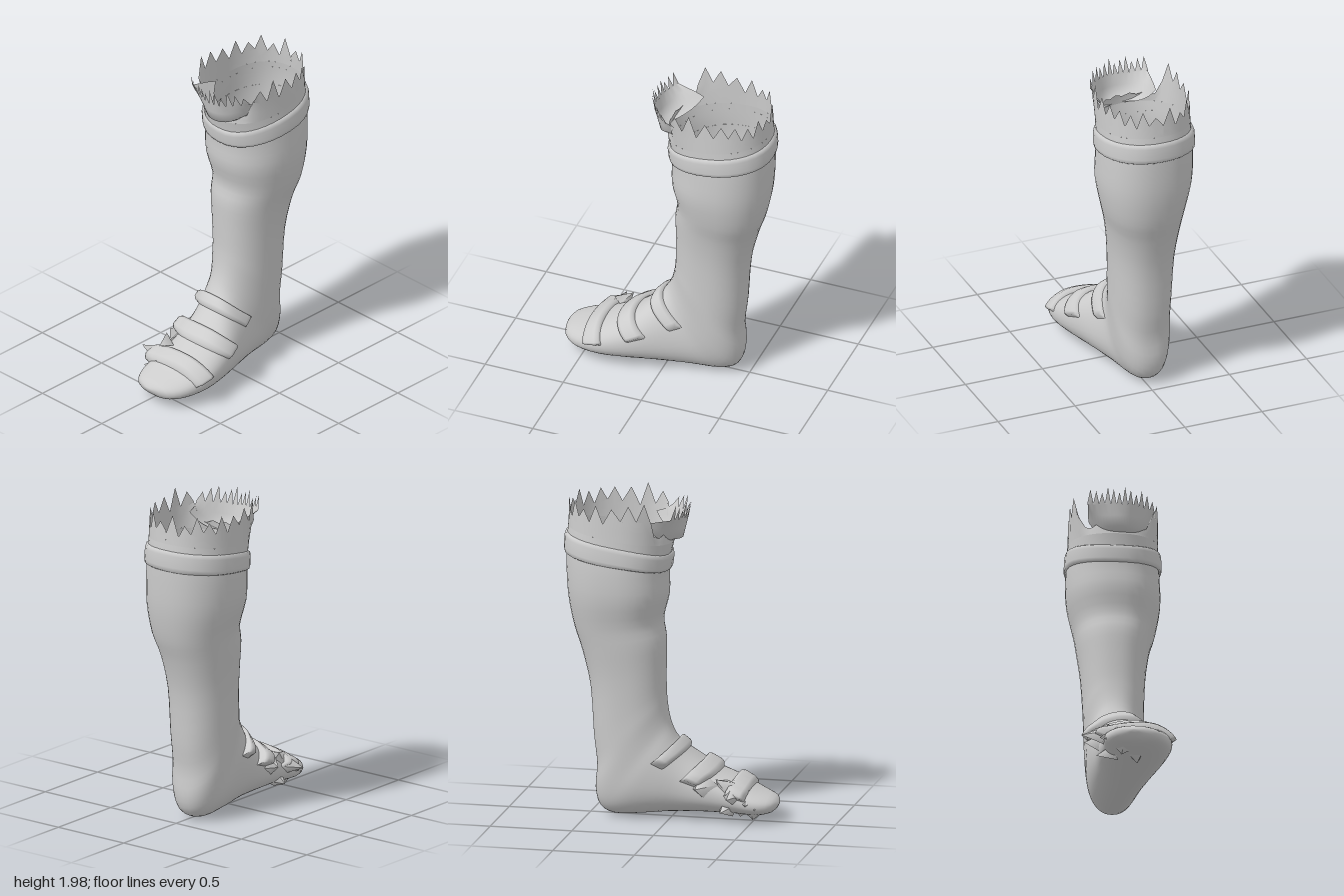
import * as THREE from 'three';
import { mergeVertices } from 'three/addons/utils/BufferGeometryUtils.js';

// Cross-sections from toe to cuff: [backZ, backY, frontZ, frontY, centreX, halfWidth]
const RINGS = [
  [0.65, 0.11, 0.65, 0.11, 0.03, 0.0],
  [0.61, 0.06, 0.62, 0.15, 0.045, 0.12],
  [0.52, 0.04, 0.52, 0.19, 0.055, 0.187],
  [0.36, 0.04, 0.40, 0.25, 0.075, 0.208],
  [0.18, 0.04, 0.25, 0.32, 0.06, 0.208],
  [0.0, 0.035, 0.14, 0.40, 0.035, 0.193],
  [-0.18, 0.02, 0.06, 0.47, 0.0, 0.178],
  [-0.34, 0.015, 0.02, 0.53, -0.02, 0.17],
  [-0.43, 0.06, -0.005, 0.59, -0.02, 0.17],
  [-0.46, 0.17, -0.02, 0.65, -0.02, 0.175],
  [-0.45, 0.32, -0.03, 0.72, -0.02, 0.18],
  [-0.47, 0.5, -0.035, 0.8, -0.02, 0.183],
  [-0.49, 0.8, -0.035, 0.95, -0.022, 0.195],
  [-0.54, 1.02, -0.035, 1.1, -0.02, 0.22],
  [-0.59, 1.17, -0.055, 1.22, -0.01, 0.247],
  [-0.625, 1.36, -0.02, 1.37, -0.015, 0.28],
  [-0.635, 1.55, -0.02, 1.5, -0.02, 0.282],
  [-0.635, 1.69, -0.01, 1.6, -0.02, 0.275],
  [-0.625, 1.79, 0.01, 1.7, -0.02, 0.27],
];
const LAST = RINGS.length - 1;

// Smooth interpolation between cross-sections
function ringAt(t) {
  const i = Math.min(Math.floor(t), LAST - 1), f = t - i;
  const at = (k) => RINGS[THREE.MathUtils.clamp(k, 0, LAST)];
  const [a, b, c, d] = [at(i - 1), at(i), at(i + 1), at(i + 2)];
  return b.map((p, k) => p + 0.5 * f * (c[k] - a[k]
    + f * (2 * a[k] - 5 * p + 4 * c[k] - d[k] + f * (3 * (p - c[k]) + d[k] - a[k]))));
}

// Point on the boot surface: angle 0 is the shin and instep, PI the calf and sole
function surface(t, angle, lift = 0) {
  const [bz, by, fz, fy, cx, hw] = ringAt(t);
  const soft = (v) => Math.sign(v) * Math.pow(Math.abs(v), 0.9);
  const c = soft(Math.cos(angle)), s = soft(Math.sin(angle));
  const half = Math.hypot(fz - bz, fy - by) / 2 || 1e-6;
  const k = (c * (half + lift)) / half / 2;
  return [cx + s * (hw + lift), (by + fy) / 2 + k * (fy - by), (bz + fz) / 2 + k * (fz - bz)];
}

// Sheet of quads from a rule fn(row, column)
function sheet(rows, cols, fn) {
  const pos = [], index = [];
  for (let r = 0; r <= rows; r++) for (let c = 0; c <= cols; c++) pos.push(...fn(r, c));
  for (let r = 0; r < rows; r++) for (let c = 0; c < cols; c++) {
    const p = r * (cols + 1) + c, q = p + cols + 1;
    index.push(p, p + 1, q, p + 1, q + 1, q);
  }
  let g = new THREE.BufferGeometry();
  g.setAttribute('position', new THREE.Float32BufferAttribute(pos, 3));
  g.setIndex(index);
  g = mergeVertices(g, 1e-5);
  g.computeVertexNormals();
  return g;
}

export function createModel() {
  const group = new THREE.Group();
  const grey = new THREE.MeshStandardMaterial({ color: 0xcccccc, side: THREE.DoubleSide });
  grey.name = 'plain grey';
  const add = (name, geometry) => {
    const mesh = new THREE.Mesh(geometry, grey);
    mesh.name = name;
    group.add(mesh);
    return mesh;
  };
  const TAU = Math.PI * 2;

  // Foot and leg in one skin
  add('bootBody', sheet(LAST * 3, 40, (r, c) => surface(r / 3, Math.PI + (c / 40) * TAU)));

  // Cuff with a torn rim, cut low at the front and flared beside the cut
  const teeth = 44;
  add('tornCuff', sheet(3, teeth, (r, c) => {
    const a = Math.PI + (c / teeth) * TAU;
    const base = surface(LAST, a);
    if (r === 0) return base;
    const front = Math.cos(a) > 0.68;
    const valley = front ? 1.75 : 1.86 + 0.015 * Math.sin(c * 2.3);
    const tip = front ? 1.765 : 1.945 + 0.03 * Math.sin(c * 1.7) + (Math.cos(a) > 0 ? 0.022 : 0);
    const y = r === 1 ? (base[1] + valley) / 2 : r === 3 && c % 2 ? tip : valley;
    const flare = front || Math.cos(a) < 0 ? 0 : 0.12 * Math.sin(2 * a) ** 2;
    const k = 1 + (r / 3) * (flare - 0.02);
    return [-0.02 + (base[0] + 0.02) * k, y, -0.31 + (base[2] + 0.31) * k];
  }));

  // Front flap that flares forward, with its own teeth
  add('frontFlap', sheet(4, 24, (r, c) => {
    const s = c / 12 - 1, x = 0.005 + 0.19 * s;
    const low = 1.725 + 0.12 * s ** 4, z = 0.065 - 0.15 * s * s;
    const rim = 1.85 + 0.02 * s * s, rimZ = 0.095 - (s > 0 ? 0.14 : 0.06) * s * s;
    if (r === 0) return [x * 0.95, low - 0.015, z - 0.055];
    if (r === 1) return [x, low, z];
    if (r === 2) return [x * 1.03, (low + rim) / 2, (z + rimZ) / 2];
    if (r === 3) return [x * 1.06, rim, rimZ];
    return [x * 1.08, c % 2 ? 1.94 + 0.02 * Math.sin(c * 2.1) : rim, rimZ + (c % 2 ? 0.02 : 0)];
  }));

  // Padded band wrapped over the surface; path(angle) says where it lies along the boot
  const profile = [[-1, -0.01], [-0.9, 0.7], [-0.55, 1], [0.55, 1], [0.9, 0.7], [1, -0.01]];
  function band(name, path, width, height, from, to, open) {
    const cols = 32;
    add(name, sheet(profile.length - 1, cols, (r, c) => {
      const a = from + ((to - from) * c) / cols;
      const end = open && (c === 0 || c === cols) ? -0.1 : 1;
      // Straps thicken toward the buckle side
      const bump = 1 + 0.12 * Math.sin(a * 5) + 1.1 * THREE.MathUtils.smoothstep(-a, 0.7, 1.2);
      return surface(path(a) + profile[r][0] * width, a, profile[r][1] * height * end * bump);
    }));
  }
  band('kneeBand', (a) => 17 - 0.25 * Math.max(0, Math.cos(a)) ** 2, 0.52, 0.016, Math.PI, Math.PI * 3, false);
  band('ankleStrap', (a) => 5.85 + 0.42 * a * a, 0.45, 0.026, -1.25, 1.38, true);
  band('instepStrap', (a) => 4.1 + 0.28 * a * a, 0.4, 0.03, -1.4, 1.42, true);
  band('toeStrap', (a) => 2.72 + 0.06 * a * a, 0.42, 0.028, -1.4, 1.45, true);

  // Jagged shards on the buckle side and under the sole: base, tip, radius
  const shards = [
    [[-0.07, 0.18, 0.4], [-0.265, 0.185, 0.39], 0.08],
    [[-0.09, 0.22, 0.36], [-0.15, 0.28, 0.3], 0.06],
    [[-0.1, 0.22, 0.22], [-0.23, 0.23, 0.19], 0.09],
    [[-0.05, 0.14, 0.47], [-0.16, 0.13, 0.48], 0.07],
    [[-0.03, 0.11, 0.54], [-0.14, 0.1, 0.53], 0.05],
    [[-0.05, 0.1, 0.36], [-0.17, 0.08, 0.33], 0.07],
    [[0.06, 0.07, 0.42], [0.07, 0.005, 0.4], 0.07],
    [[-0.02, 0.07, 0.5], [-0.03, 0.015, 0.5], 0.07],
  ];
  for (const [base, tip, radius] of shards) {
    const p = new THREE.Vector3(...base), dir = new THREE.Vector3(...tip).sub(p);
    const g = new THREE.ConeGeometry(radius, dir.length(), 4, 1, true);
    g.translate(0, dir.length() / 2, 0);
    const mesh = add('buckleShard', g);
    mesh.position.copy(p);
    mesh.quaternion.setFromUnitVectors(new THREE.Vector3(0, 1, 0), dir.normalize());
  }
  return group;
}
